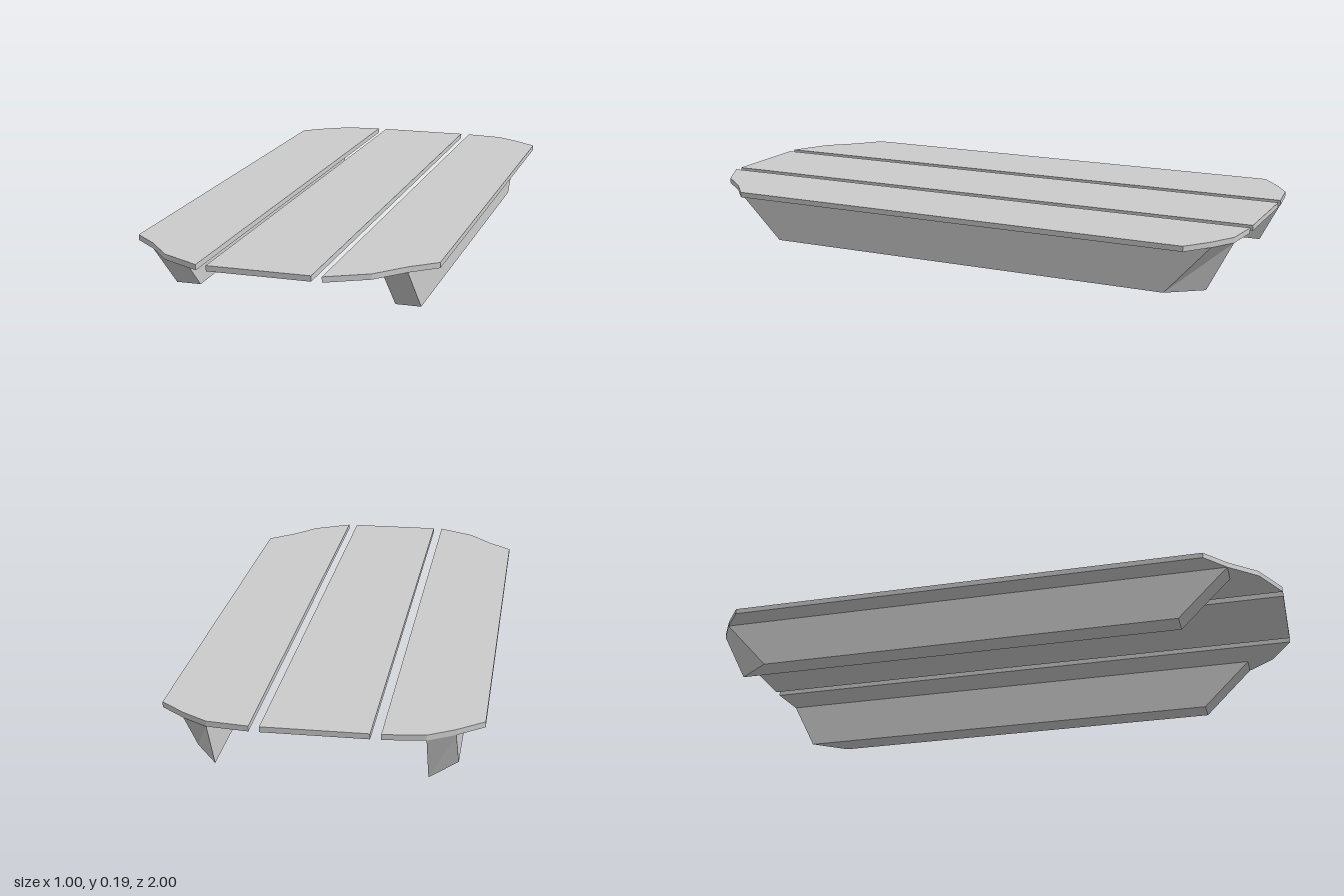
import * as THREE from 'three';

const DECK_BOTTOM = 0.167, DECK_TOP = 0.185;
const material = new THREE.MeshStandardMaterial({ color: 0xcccccc, flatShading: true });

// Flat board from an [x, z] outline, mirrored by side
function board(name, outline, side = 1) {
  const shape = new THREE.Shape(outline.map(([x, z]) => new THREE.Vector2(x * side, -z)));
  const geo = new THREE.ExtrudeGeometry(shape, { depth: DECK_TOP - DECK_BOTTOM, bevelEnabled: false });
  geo.rotateX(-Math.PI / 2).translate(0, DECK_BOTTOM, 0);
  const mesh = new THREE.Mesh(geo, material);
  mesh.name = name;
  return mesh;
}

// Runner: a box whose ends slope inwards towards the ground
function runner(name, side) {
  const geo = new THREE.BoxGeometry(1, 1, 1);
  const p = geo.attributes.position;
  for (let i = 0; i < p.count; i++) {
    const outer = p.getX(i) * side > 0, top = p.getY(i) > 0, front = p.getZ(i) > 0;
    // the back end is also skewed to follow the rounded board
    const back = outer ? (top ? -0.935 : -0.785) : (top ? -0.985 : -0.9);
    p.setXYZ(i, side * (outer ? 0.417 : 0.333), top ? DECK_BOTTOM : 0,
      front ? (top ? 0.835 : 0.665) : back);
  }
  geo.computeVertexNormals();
  const mesh = new THREE.Mesh(geo, material);
  mesh.name = name;
  return mesh;
}

export function createModel() {
  const group = new THREE.Group();
  group.name = 'slattedPlatform';

  // Middle board
  group.add(board('centreBoard', [[-0.167, -1], [0.167, -1], [0.167, 1], [-0.167, 1]]));

  // Side boards with faceted outer corners, each on a runner
  const sideOutline = [
    [0.2, 1], [0.333, 0.93], [0.417, 0.835], [0.5, 0.765],
    [0.5, -0.87], [0.417, -0.935], [0.333, -0.985], [0.2, -1],
  ];
  for (const [label, side] of [['left', 1], ['right', -1]]) {
    group.add(board(label + 'Board', sideOutline, side));
    group.add(runner(label + 'Runner', side));
  }
  return group;
}
